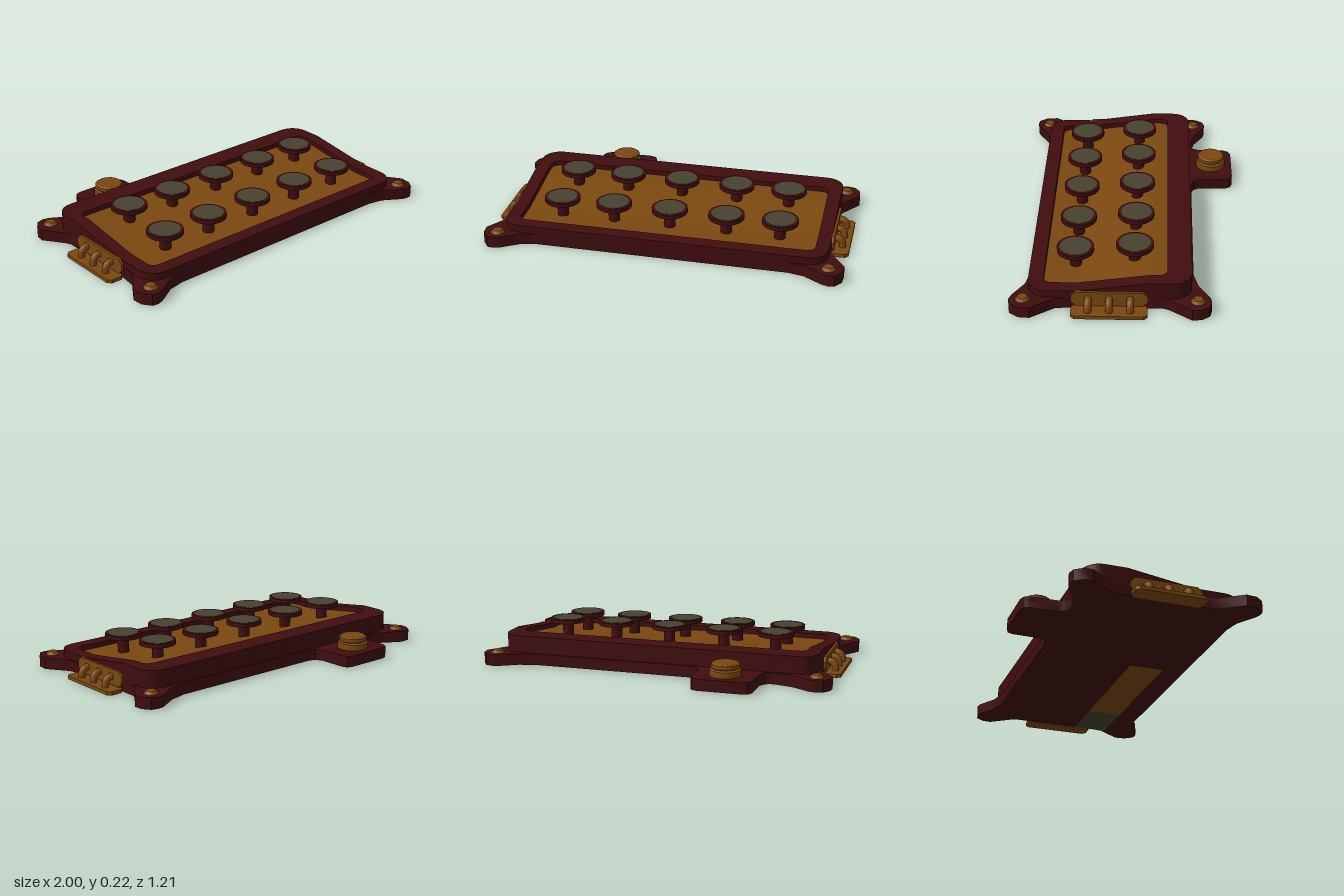
import * as THREE from 'three';
import { toCreasedNormals } from 'three/addons/utils/BufferGeometryUtils.js';

const red = new THREE.MeshStandardMaterial({ color: 0x400d0f });
red.name = 'dark red';
const bronze = new THREE.MeshStandardMaterial({ color: 0x7b4810 });
bronze.name = 'bronze';
const grey = new THREE.MeshStandardMaterial({ color: 0x484131 });
grey.name = 'olive grey';

// Height of the casing top: low front, slope, high back
const KINKS = [-0.13, 0.25];
const topHeight = (z) => THREE.MathUtils.mapLinear(THREE.MathUtils.clamp(z, ...KINKS), ...KINKS, 0.163, 0.108);

function add(parent, name, geometry, material, x = 0, y = 0, z = 0) {
  const mesh = new THREE.Mesh(geometry, material);
  mesh.name = name;
  mesh.position.set(x, y, z);
  parent.add(mesh);
  return mesh;
}

// Flat outline of [x, z] points raised to a slab standing on y = 0
function slab(points, height) {
  const shape = new THREE.Shape(points.map(([x, z]) => new THREE.Vector2(x, -z)));
  const g = new THREE.ExtrudeGeometry(shape, { depth: height, bevelEnabled: false });
  return toCreasedNormals(g.rotateX(-Math.PI / 2), 0.6);
}

function chamferedRect(w, h, c) {
  const a = w / 2, b = h / 2;
  return [[a, b - c], [a - c, b], [c - a, b], [-a, b - c], [-a, c - b], [c - a, -b], [a - c, -b], [a, c - b]];
}

// Rounded rectangle with extra points where the casing slope bends
function roundedLoop(halfX, z0, z1, r) {
  const pts = [];
  const corners = [[1, z0 + r], [1, z1 - r], [-1, z1 - r], [-1, z0 + r]];
  corners.forEach(([s, cz], k) => {
    for (let i = 0; i <= 6; i++) {
      const a = (k - 1 + i / 6) * Math.PI / 2;
      pts.push([s * (halfX - r) + r * Math.cos(a), cz + r * Math.sin(a)]);
    }
    if (k === 0) KINKS.forEach((z) => pts.push([halfX, z]));
    if (k === 2) [...KINKS].reverse().forEach((z) => pts.push([-halfX, z]));
  });
  return pts;
}

// Sloping frame: outer wall, top rim and inner wall
function frameGeometry() {
  const outer = roundedLoop(0.905, -0.35, 0.51, 0.1);
  const inner = roundedLoop(0.83, -0.22, 0.43, 0.045);
  const pos = [], index = [], n = outer.length;
  for (let i = 0; i < n; i++) {
    const [ox, oz] = outer[i], [ix, iz] = inner[i];
    pos.push(ox, 0.05, oz, ox, topHeight(oz), oz, ix, topHeight(iz), iz, ix, 0.05, iz);
    const a = i * 4, b = ((i + 1) % n) * 4;
    for (let k = 0; k < 3; k++) index.push(a + k, a + k + 1, b + k + 1, a + k, b + k + 1, b + k);
  }
  const g = new THREE.BufferGeometry();
  g.setAttribute('position', new THREE.Float32BufferAttribute(pos, 3));
  g.setIndex(index);
  return toCreasedNormals(g, 0.5);
}

// Recessed panel following the slope
function panelGeometry() {
  const g = new THREE.PlaneGeometry(1.67, 0.66, 1, 33).rotateX(-Math.PI / 2).translate(0, 0, 0.105);
  const p = g.attributes.position;
  for (let i = 0; i < p.count; i++) p.setY(i, topHeight(p.getZ(i)) - 0.028);
  g.computeVertexNormals();
  return g;
}

function button(x, z, top) {
  const g = new THREE.Group();
  g.name = 'button';
  g.position.set(x, 0, z);
  add(g, 'buttonStem', new THREE.CylinderGeometry(0.032, 0.032, top - 0.08, 20), red, 0, (top + 0.06) / 2, 0);
  add(g, 'buttonDisc', new THREE.CylinderGeometry(0.1, 0.1, 0.023, 32), red, 0, top - 0.0125, 0);
  add(g, 'buttonFace', new THREE.CylinderGeometry(0.085, 0.085, 0.004, 32), grey, 0, top - 0.001, 0);
  return g;
}

// Side bracket: upright plate, foot plate and three curved ribs
function bracket() {
  const g = new THREE.Group();
  g.name = 'sideBracket';
  const upright = slab(chamferedRect(0.085, 0.4, 0.025), 0.018).rotateZ(-Math.PI / 2);
  add(g, 'bracketPlate', upright, bronze, 0.9, 0.067, 0);
  add(g, 'bracketFoot', slab(chamferedRect(0.1, 0.4, 0.02), 0.02), bronze, 0.95, 0, 0);
  const path = new THREE.QuadraticBezierCurve3(
    new THREE.Vector3(0.91, 0.07, 0), new THREE.Vector3(0.965, 0.075, 0), new THREE.Vector3(0.957, 0.01, 0));
  for (const z of [-0.11, 0, 0.11]) add(g, 'bracketRib', new THREE.TubeGeometry(path, 10, 0.02, 10), bronze, 0, 0, z);
  return g;
}

export function createModel() {
  const model = new THREE.Group();
  model.name = 'buttonPanel';

  // Base plate with four corner ears and a rear tab
  const frontEar = [[0.7, 0.51], [0.79, 0.528], [0.89, 0.59], [0.925, 0.602], [0.96, 0.598], [0.995, 0.55], [1, 0.49], [0.915, 0.365], [0.905, 0.28]];
  const backEar = [[0.905, -0.2], [0.915, -0.23], [1, -0.35], [0.995, -0.4], [0.965, -0.442], [0.925, -0.452], [0.89, -0.445], [0.79, -0.385], [0.69, -0.36]];
  const tab = [[-0.22, -0.36], [-0.255, -0.375], [-0.275, -0.41], [-0.278, -0.565], [-0.29, -0.593], [-0.32, -0.605],
    [-0.57, -0.605], [-0.6, -0.593], [-0.615, -0.565], [-0.618, -0.41], [-0.635, -0.375], [-0.665, -0.362]];
  const mirror = (pts) => pts.map(([x, z]) => [-x, z]).reverse();
  const outline = [...frontEar, ...backEar, ...tab, ...mirror(backEar), ...mirror(frontEar)];
  add(model, 'basePlate', slab(outline, 0.064), red, 0, 0.003, 0);

  // Casing
  add(model, 'casingFrame', frameGeometry(), red);
  add(model, 'recessedPanel', panelGeometry(), bronze);

  // Two rows of five buttons
  for (const x of [-0.62, -0.32, 0, 0.32, 0.62]) {
    model.add(button(x, 0.27, 0.193), button(x, -0.047, 0.222));
  }

  // Rivets on the ears
  for (const x of [-0.92, 0.92]) {
    for (const z of [-0.38, 0.53]) {
      add(model, 'earRivet', new THREE.CylinderGeometry(0.026, 0.042, 0.02, 12), bronze, x, 0.073, z);
    }
  }

  // Knob on the rear tab
  const profile = [[0, 0.06], [0.085, 0.06], [0.088, 0.075], [0.085, 0.1], [0.07, 0.106], [0.078, 0.112], [0.078, 0.132], [0.068, 0.139], [0, 0.139]];
  const knob = new THREE.LatheGeometry(profile.map(([r, y]) => new THREE.Vector2(r, y)), 16);
  add(model, 'rearKnob', toCreasedNormals(knob, 0.5), bronze, -0.447, 0, -0.48);

  // Brackets on both ends
  for (const turn of [0, Math.PI]) {
    const b = bracket();
    b.position.z = 0.08;
    b.rotation.y = turn;
    model.add(b);
  }

  // Thin plates on the underside
  add(model, 'undersideStrip', new THREE.BoxGeometry(0.73, 0.004, 0.2), bronze, 0.255, 0.002, 0.28);
  add(model, 'undersideStripEnd', new THREE.BoxGeometry(0.28, 0.004, 0.2), grey, 0.76, 0.002, 0.28);

  return model;
}
